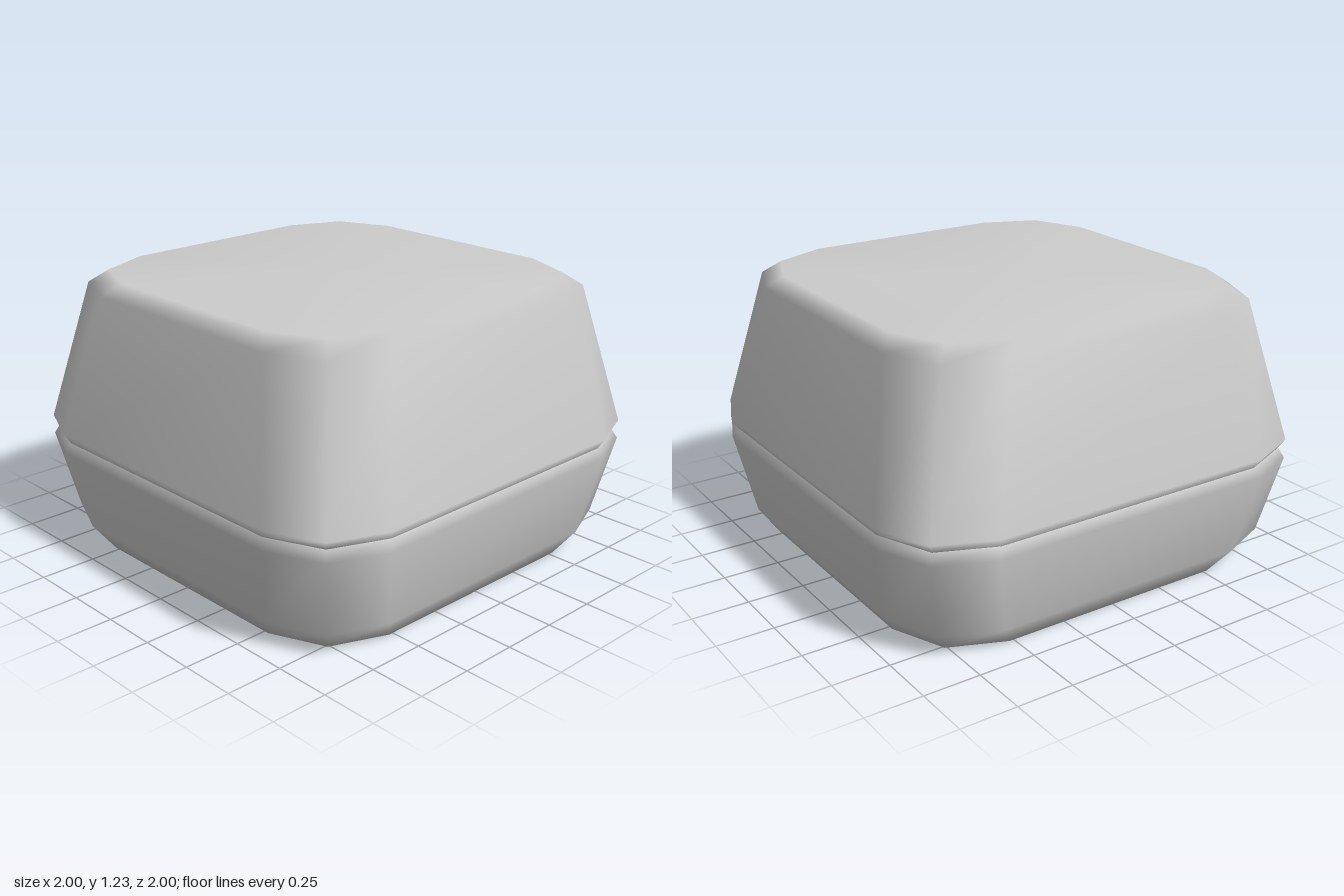
import * as THREE from 'three';

// Rounded-square outline of half width h, two flat cuts per corner
function outline(h) {
  const r = 0.34, c = 0.1;
  const corner = [[h, h - r], [h - c, h - c], [h - r, h]];
  const pts = [];
  for (let q = 0; q < 4; q++) {
    for (const [x, z] of corner) {
      pts.push([[x, z], [-z, x], [-x, -z], [z, -x]][q]);
    }
  }
  return pts;
}

// Shell lofted through rings [height, half width], bottom to top, capped at one end
function shell(rings, capTop) {
  const n = 12, pos = [], idx = [];
  for (const [y, h] of rings) for (const [x, z] of outline(h)) pos.push(x, y, z);
  const capRing = capTop ? rings.length - 1 : 0;
  const centre = pos.length / 3;
  pos.push(0, rings[capRing][0], 0);
  for (let i = 0; i < n; i++) {
    const j = (i + 1) % n;
    for (let k = 0; k < rings.length - 1; k++) {
      const a = k * n + i, b = k * n + j;
      idx.push(a, a + n, b, b, a + n, b + n);
    }
    const p = capRing * n + i, q = capRing * n + j;
    if (capTop) idx.push(centre, q, p);
    else idx.push(centre, p, q);
  }
  const geo = new THREE.BufferGeometry();
  geo.setAttribute('position', new THREE.Float32BufferAttribute(pos, 3));
  geo.setIndex(idx);
  geo.computeVertexNormals();
  return geo;
}

export function createModel() {
  const group = new THREE.Group();
  group.name = 'clamshellBox';
  const grey = new THREE.MeshStandardMaterial({ color: 0xcccccc, side: THREE.DoubleSide });
  grey.name = 'light grey';

  // Shallow base, tapering in below the rim
  const base = new THREE.Mesh(
    shell([[0, 0.86], [0.105, 0.93], [0.46, 1], [0.505, 0.98]], false), grey);
  base.name = 'base';

  // Taller lid, meeting the base in a narrow groove
  const lid = new THREE.Mesh(
    shell([[0.505, 0.98], [0.545, 1], [1.17, 0.86], [1.225, 0.795]], true), grey);
  lid.name = 'lid';

  group.add(base, lid);
  return group;
}
